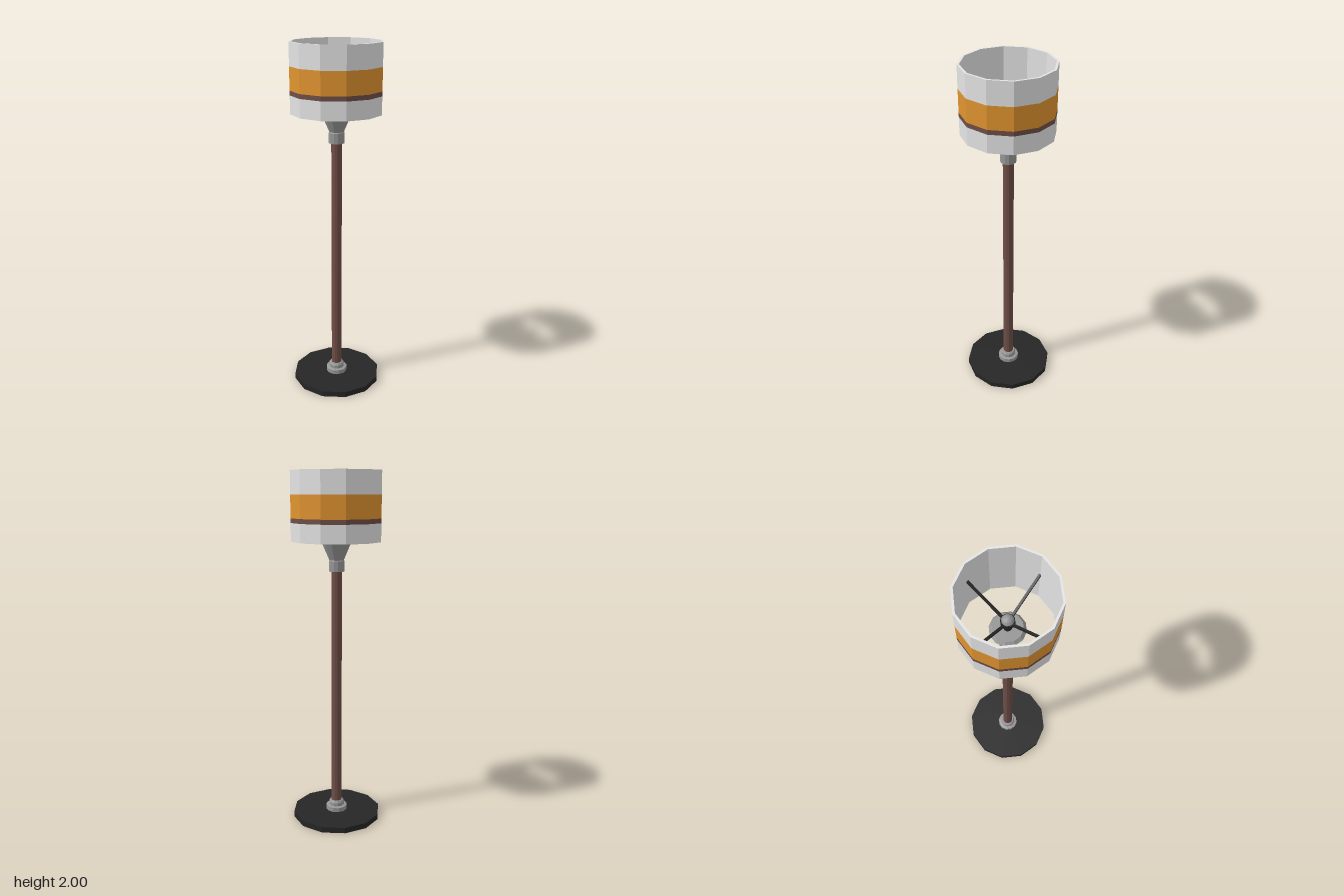
import * as THREE from 'three';

const SIDES = 12;

const material = (name, color) => {
  const m = new THREE.MeshStandardMaterial({ color });
  m.name = name;
  return m;
};

// Faceted turned part from a [radius, height] profile, listed bottom to top on the outside
function turned(name, profile, mat) {
  const points = profile.map(([r, y]) => new THREE.Vector2(r, y));
  const geometry = new THREE.LatheGeometry(points, SIDES).toNonIndexed();
  geometry.computeVertexNormals();
  const mesh = new THREE.Mesh(geometry, mat);
  mesh.name = name;
  return mesh;
}

// Square bar between two points
function bar(name, from, to, width, mat) {
  const a = new THREE.Vector3(...from), b = new THREE.Vector3(...to);
  const mesh = new THREE.Mesh(new THREE.BoxGeometry(width, width, a.distanceTo(b)), mat);
  mesh.position.copy(a).lerp(b, 0.5);
  mesh.lookAt(b);
  mesh.name = name;
  return mesh;
}

export function createModel() {
  const black = material('black iron', 0x262626);
  const metal = material('grey metal', 0x979797);
  const wood = material('brown wood', 0x6f4e47);
  const fabric = material('white fabric', 0xe4e4e4);
  const orange = material('orange band', 0xe0942f);

  const lamp = new THREE.Group();
  lamp.name = 'floorLamp';

  // Foot and pole
  lamp.add(
    turned('base', [[0, 0], [0.257, 0], [0.257, 0.033], [0, 0.033]], black),
    turned('lowerCollar', [[0.062, 0.033], [0.062, 0.058], [0.045, 0.062],
      [0.045, 0.08], [0.038, 0.092], [0, 0.092]], metal),
    turned('pole', [[0.03, 0.085], [0.03, 1.47]], wood),
  );

  // Collar and flared cup under the shade
  lamp.add(
    turned('upperCollar', [[0, 1.46], [0.044, 1.46], [0.044, 1.518], [0.038, 1.526]], metal),
    turned('cup', [[0.04, 1.52], [0.093, 1.642], [0.078, 1.662], [0, 1.662]], metal),
  );

  // Shade carrier: stem, domed cap and four rising arms
  lamp.add(
    turned('stem', [[0.022, 1.66], [0.022, 1.715], [0.036, 1.715], [0.036, 1.74], [0, 1.74]], black),
    turned('cap', [[0.031, 1.735], [0.031, 1.745], [0.023, 1.759], [0.012, 1.767], [0, 1.77]], metal),
  );
  for (let i = 0; i < 4; i++) {
    const arm = new THREE.Group();
    arm.name = 'shadeArm';
    arm.rotation.y = i * Math.PI / 2;
    arm.add(bar('armRod', [0, 1.727, 0.025], [0, 1.84, 0.24], 0.012, black));
    lamp.add(arm);
  }

  // Hollow shade with its two outer bands
  const outer = 0.252, inner = 0.24;
  const shade = new THREE.Group();
  shade.name = 'shade';
  shade.add(
    turned('shadeShell', [[outer, 1.875], [outer, 2], [inner, 2], [inner, 1.625],
      [outer, 1.625], [outer, 1.725]], fabric),
    turned('narrowBand', [[outer, 1.725], [outer, 1.75]], wood),
    turned('wideBand', [[outer, 1.75], [outer, 1.875]], orange),
  );
  lamp.add(shade);

  return lamp;
}
